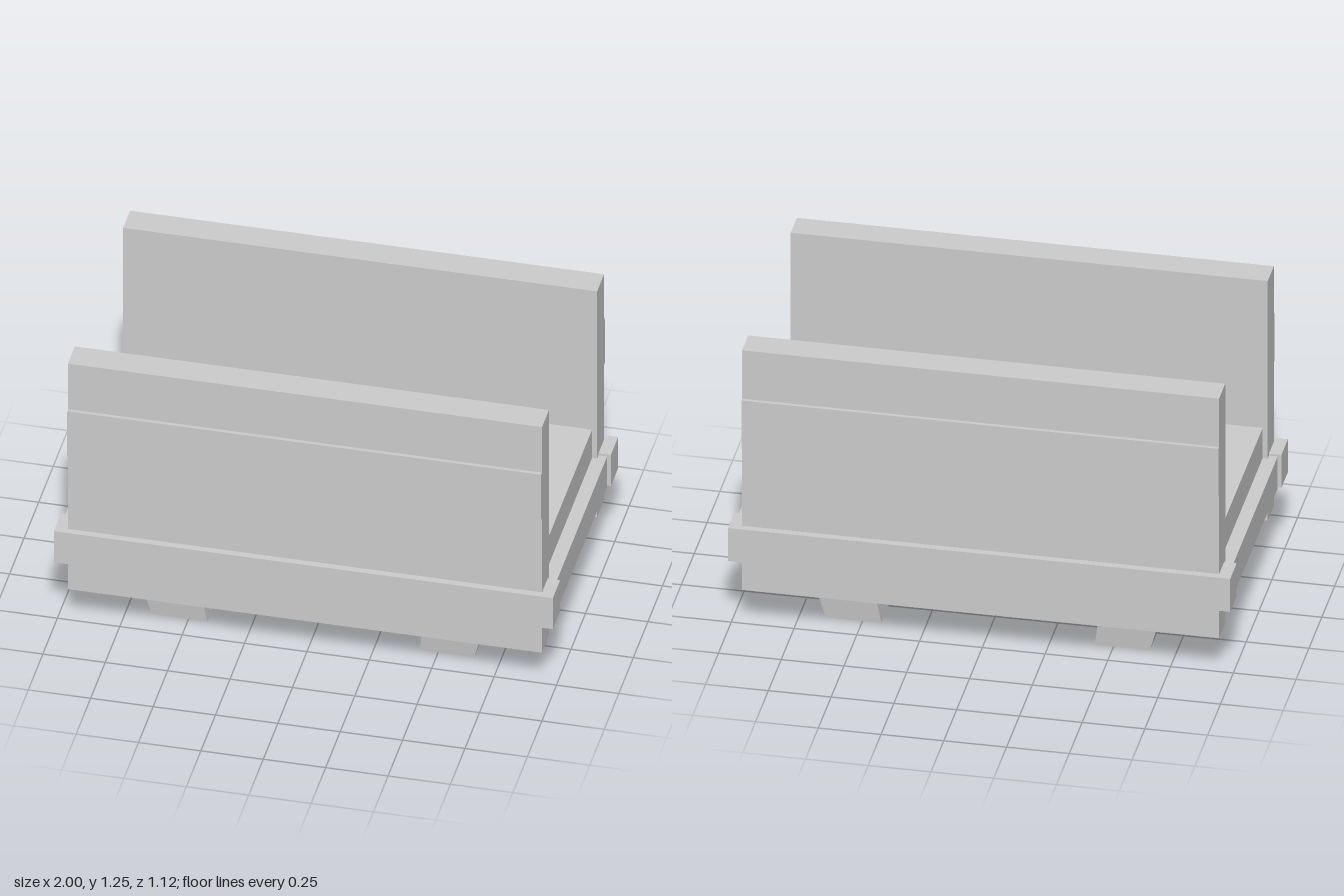
import * as THREE from 'three';

const material = new THREE.MeshStandardMaterial({ color: 0xcccccc, flatShading: true });
const BASE = 0.169; // underside of the crate

// Box given by two opposite corners, in any order
function box(name, a, b) {
  const size = a.map((v, i) => Math.abs(v - b[i]));
  const mesh = new THREE.Mesh(new THREE.BoxGeometry(...size), material);
  mesh.position.set(...a.map((v, i) => (v + b[i]) / 2));
  mesh.name = name;
  return mesh;
}

// Arched foot lofted along z; side is +1 or -1 in x
function foot(name, side) {
  const inner = 0.45, outer = 0.692;
  // Half profile: top z, bottom z, bottom y, bottom inner x, bottom outer x
  const half = [
    [0.413, 0.389, 0, 0.425, 0.645],
    [0.25, 0.234, 0, 0.425, 0.645],
    [0.084, 0.084, 0.103, inner, outer],
  ];
  const mirrored = half.map(([zt, zb, ...rest]) => [-zt, -zb, ...rest]).reverse();
  const sections = [...half, ...mirrored];
  const positions = [], index = [];
  for (const [zt, zb, y, xi, xo] of sections) {
    positions.push(side * inner, BASE, zt, side * outer, BASE, zt, side * xo, y, zb, side * xi, y, zb);
  }
  const quad = (a, b, c, d) => (side > 0 ? index.push(a, b, c, a, c, d) : index.push(a, c, b, a, d, c));
  for (let s = 0; s < sections.length - 1; s++) {
    for (let i = 0; i < 4; i++) {
      const a = s * 4 + i, b = s * 4 + (i + 1) % 4;
      // Split the twisted sides the same way at both ends
      if ((s > 2) !== (i === 3)) quad(b, b + 4, a + 4, a);
      else quad(a, b, b + 4, a + 4);
    }
  }
  const e = (sections.length - 1) * 4;
  quad(0, 3, 2, 1);
  quad(e, e + 1, e + 2, e + 3);
  const indexed = new THREE.BufferGeometry();
  indexed.setAttribute('position', new THREE.Float32BufferAttribute(positions, 3));
  indexed.setIndex(index);
  const geometry = indexed.toNonIndexed();
  geometry.computeVertexNormals();
  const mesh = new THREE.Mesh(geometry, material);
  mesh.name = name;
  return mesh;
}

export function createModel() {
  const model = new THREE.Group();
  model.name = 'openEndedCrate';

  // Thick floor block between the walls
  model.add(box('floorBlock', [-0.93, BASE, -0.413], [0.93, 0.583, 0.413]));

  // Long walls with an upper batten and a protruding lower rail
  for (const [label, s] of [['front', 1], ['back', -1]]) {
    model.add(
      box(label + 'Wall', [-0.95, BASE, s * 0.413], [0.95, 1.245, s * 0.533]),
      box(label + 'Batten', [-0.95, 0.813, s * 0.533], [0.95, 1.028, s * 0.548]),
      box(label + 'Rail', [-1, 0.309, s * 0.436], [1, 0.457, s * 0.562]),
    );
  }

  // End rails and arched feet
  for (const [label, s] of [['left', 1], ['right', -1]]) {
    model.add(
      box(label + 'EndRail', [s * 0.9, 0.305, -0.436], [s * 0.985, 0.448, 0.436]),
      foot(label + 'Foot', s),
    );
  }
  return model;
}
